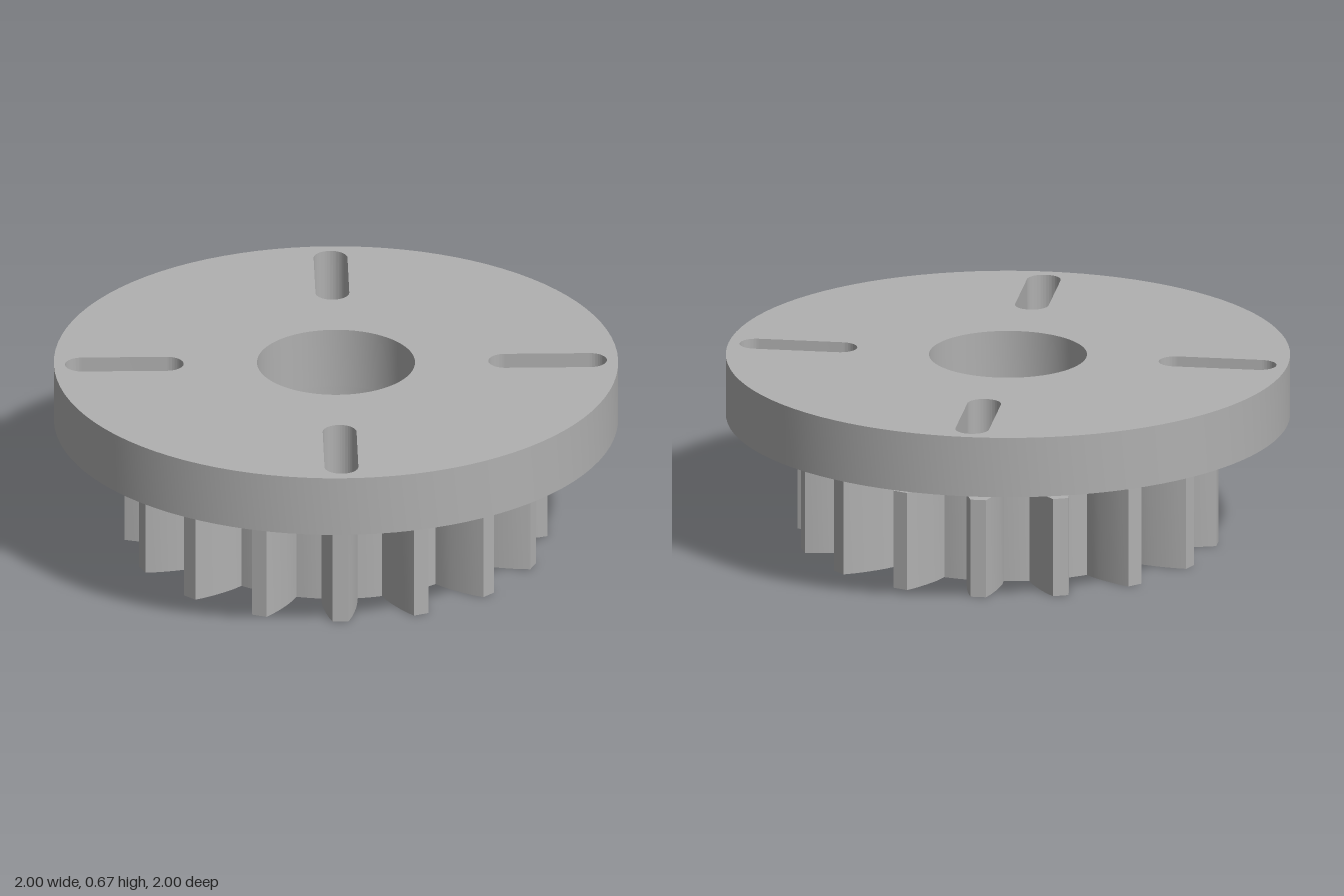
import * as THREE from 'three';
import { toCreasedNormals } from 'three/addons/utils/BufferGeometryUtils.js';

const BORE = 0.28, HUB = 0.553, DISC = 1;
const SLOT_IN = 0.6, SLOT_OUT = 0.9, SLOT_R = 0.06;
const TEETH = 16;
const SLOT_ANGLES = [0, 1, 2, 3].map((i) => Math.PI / 4 + (i * Math.PI) / 2);

const polar = (r, a) => new THREE.Vector2(r * Math.cos(a), r * Math.sin(a));

function circle(r) {
  return new THREE.Path().absarc(0, 0, r, 0, Math.PI * 2, false);
}

// Extrude an outline upward from y0 to y1, smooth on curves and sharp on edges
function plate(name, shape, y0, y1, material) {
  const extruded = new THREE.ExtrudeGeometry(shape, { depth: y1 - y0, bevelEnabled: false, curveSegments: 48 });
  extruded.rotateX(-Math.PI / 2).translate(0, y0, 0);
  const mesh = new THREE.Mesh(toCreasedNormals(extruded, 0.45), material);
  mesh.name = name;
  return mesh;
}

// Rounded radial slot
function slot(a) {
  const inner = polar(SLOT_IN, a), outer = polar(SLOT_OUT, a);
  const path = new THREE.Path();
  path.absarc(outer.x, outer.y, SLOT_R, a - Math.PI / 2, a + Math.PI / 2, false);
  path.absarc(inner.x, inner.y, SLOT_R, a + Math.PI / 2, a + Math.PI * 1.5, false);
  path.closePath();
  return path;
}

// Gear outline: curved tooth flanks with root arcs between them
function gearShape() {
  const flank = [[HUB, 0.063], [0.59, 0.063], [0.62, 0.06], [0.65, 0.055], [0.68, 0.049], [0.715, 0.04], [0.75, 0.028]];
  const pitch = (Math.PI * 2) / TEETH, points = [];
  for (let t = 0; t < TEETH; t++) {
    const a = t * pitch;
    const side = (s) => flank.map(([r, w]) => polar(r, a + s * Math.asin(w / r)));
    points.push(...side(-1), ...side(1).reverse());
    const root = Math.asin(flank[0][1] / HUB);
    for (let i = 1; i < 4; i++) points.push(polar(HUB, a + root + (i / 4) * (pitch - 2 * root)));
  }
  return new THREE.Shape(points);
}

// Hub outline with shallow bites where the slots reach into it
function notchedHubShape() {
  const points = [], n = 720;
  for (let i = 0; i < n; i++) {
    const a = (i / n) * Math.PI * 2;
    let r = HUB;
    for (const s of SLOT_ANGLES) {
      const k = SLOT_R ** 2 - (SLOT_IN * Math.sin(a - s)) ** 2;
      if (k > 0 && Math.cos(a - s) > 0) r = Math.min(r, SLOT_IN * Math.cos(a - s) - Math.sqrt(k));
    }
    points.push(polar(r, a));
  }
  return new THREE.Shape(points);
}

export function createModel() {
  const grey = new THREE.MeshStandardMaterial({ color: 0xb0b0b0 });
  grey.name = 'grey';

  const group = new THREE.Group();
  group.name = 'slottedGearFlange';

  const gear = gearShape();
  const collar = new THREE.Shape().absarc(0, 0, HUB, 0, Math.PI * 2, false);
  const notched = notchedHubShape();
  const disc = new THREE.Shape().absarc(0, 0, DISC, 0, Math.PI * 2, false);
  for (const shape of [gear, collar, notched, disc]) shape.holes.push(circle(BORE));
  disc.holes.push(...SLOT_ANGLES.map(slot));

  group.add(
    plate('gear', gear, 0, 0.36, grey),
    plate('collar', collar, 0.36, 0.42, grey),
    plate('notchedCollar', notched, 0.42, 0.45, grey),
    plate('slottedDisc', disc, 0.45, 0.67, grey),
  );
  return group;
}
